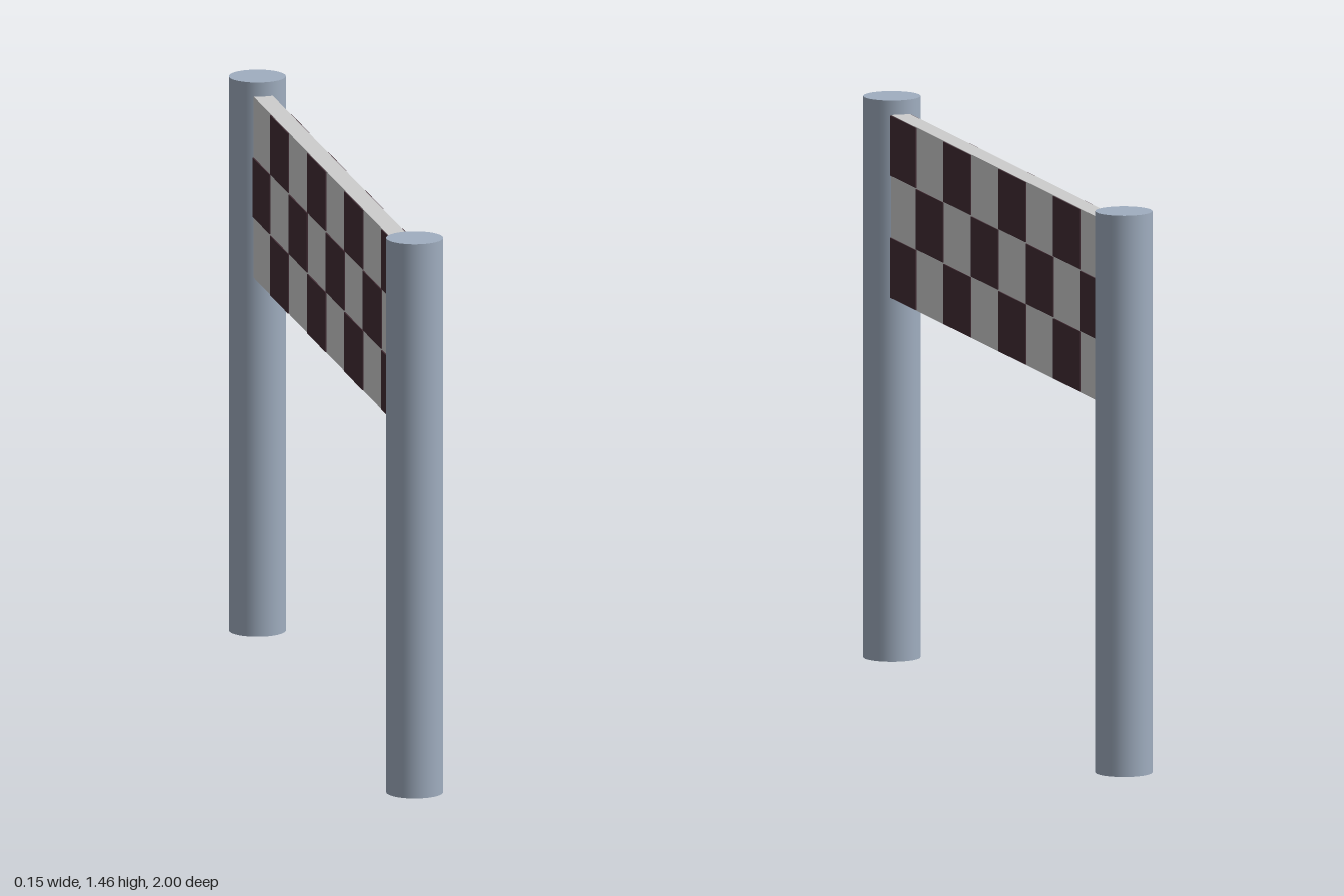
import * as THREE from 'three';

const material = (name, color) => {
  const m = new THREE.MeshStandardMaterial({ color });
  m.name = name;
  return m;
};

export function createModel() {
  const steel = material('blue grey steel', 0xa0aec0);
  const white = material('off white', 0xcdcdcd);
  const dark = material('dark maroon', 0x422c34);

  const group = new THREE.Group();
  group.name = 'checkeredGate';
  const add = (name, geometry, mat, x, y, z) => {
    const mesh = new THREE.Mesh(geometry, mat);
    mesh.name = name;
    mesh.position.set(x, y, z);
    group.add(mesh);
  };

  // Two round posts
  const height = 1.457, radius = 0.073, postZ = 1 - radius;
  const post = new THREE.CylinderGeometry(radius, radius, height, 40);
  add('frontPost', post, steel, 0, height / 2, postZ);
  add('backPost', post, steel, 0, height / 2, -postZ);

  // Banner board, its ends sunk into the posts
  const top = 1.42, bottom = 0.944, length = 1.75, thickness = 0.05;
  add('banner', new THREE.BoxGeometry(thickness, top - bottom, length), white,
    0, (top + bottom) / 2, 0);

  // Dark checks as thin plates on both faces
  const rows = 3, columns = 8, plate = 0.003;
  const cellY = (top - bottom) / rows, cellZ = length / columns;
  const check = new THREE.BoxGeometry(plate, cellY - 0.003, cellZ - 0.003);
  for (const side of [1, -1]) {
    for (let row = 0; row < rows; row++) {
      for (let col = row % 2; col < columns; col += 2) {
        add('check', check, dark, side * (thickness + plate) / 2,
          top - (row + 0.5) * cellY, length / 2 - (col + 0.5) * cellZ);
      }
    }
  }
  return group;
}
